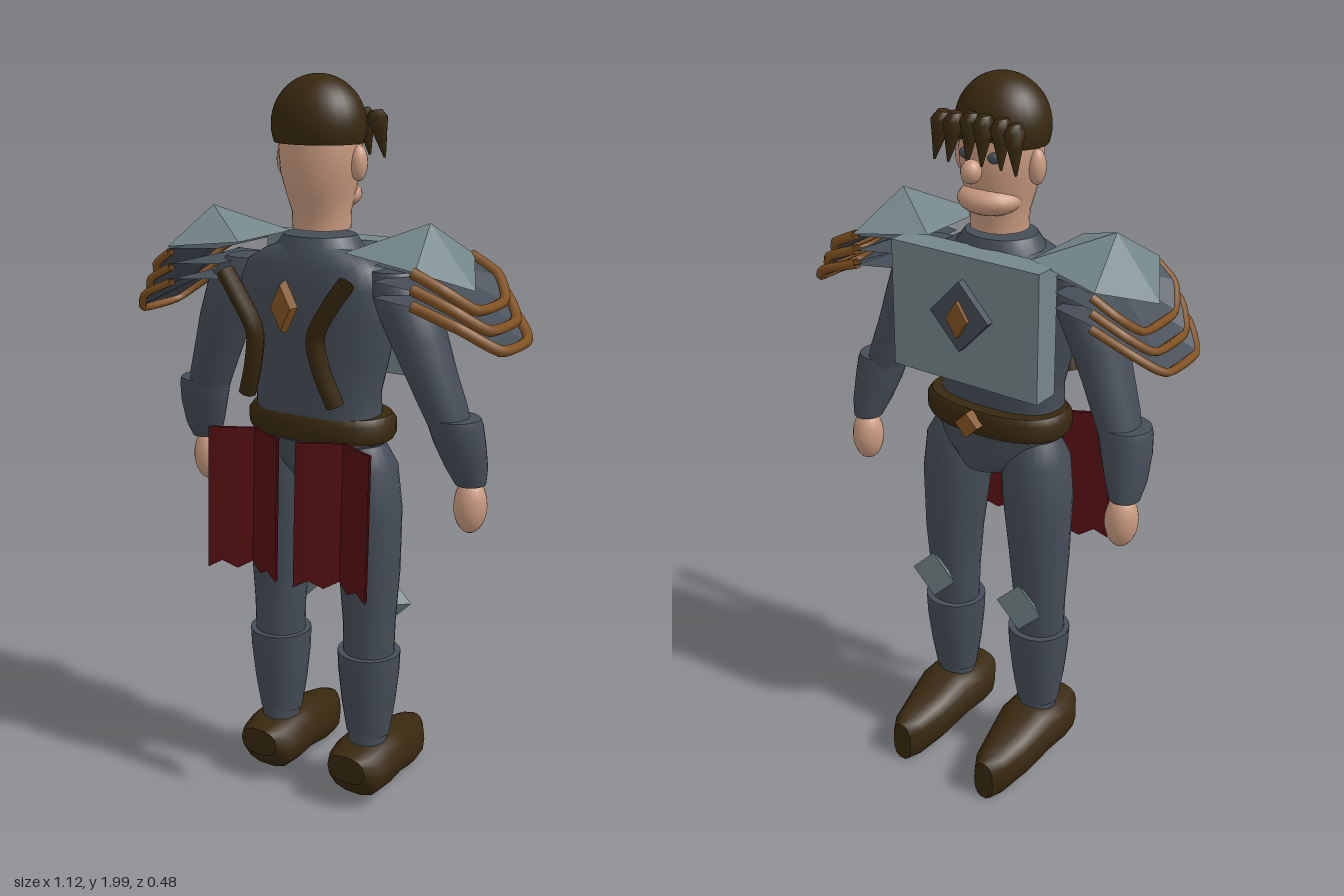
import * as THREE from 'three';

const mat = (name, color) => {
  const m = new THREE.MeshStandardMaterial({ color, side: THREE.DoubleSide });
  m.name = name;
  return m;
};

// Smooth body through rings [x, y, z, rx, rz], listed upwards; n squares the section
function loft(rings, seg = 24, n = 2) {
  const first = rings[0], last = rings[rings.length - 1];
  const cap = (r) => [r[0], r[1], r[2], 0, 0];
  const all = [cap(first), first, ...rings, last, cap(last)];
  const pos = [], idx = [];
  const pw = (v) => Math.sign(v) * Math.pow(Math.abs(v), 2 / n);
  all.forEach(([x, y, z, rx, rz], i) => {
    for (let j = 0; j < seg; j++) {
      const a = (j / seg) * Math.PI * 2;
      pos.push(x + rx * pw(Math.cos(a)), y, z + rz * pw(Math.sin(a)));
      if (i === all.length - 1) continue;
      const p = i * seg + j, q = i * seg + ((j + 1) % seg);
      idx.push(p, p + seg, q, q, p + seg, q + seg);
    }
  });
  const g = new THREE.BufferGeometry();
  g.setAttribute('position', new THREE.Float32BufferAttribute(pos, 3));
  g.setIndex(idx);
  g.computeVertexNormals();
  return g;
}

// Faceted fan from a centre point around a closed outline
function fan(center, pts) {
  const pos = [];
  pts.forEach((p, i) => pos.push(...center, ...p, ...pts[(i + 1) % pts.length]));
  const g = new THREE.BufferGeometry();
  g.setAttribute('position', new THREE.Float32BufferAttribute(pos, 3));
  g.computeVertexNormals();
  return g;
}

// Four-sided stud, dir = -1 or 1 is the z side it faces
function stud(w, h, rOut, rIn, depth, dir) {
  const g = new THREE.CylinderGeometry(rOut, rIn, depth, 4).toNonIndexed();
  g.computeVertexNormals();
  return g.rotateX((dir * Math.PI) / 2).scale(w, h, 1);
}

export function createModel() {
  const dark = mat('darkSteel', 0x454d57);
  const steel = mat('paleSteel', 0x74868a);
  const brown = mat('brownLeather', 0x38280f);
  const gold = mat('bronze', 0x835322);
  const red = mat('redCloth', 0x540f12);
  const skin = mat('skin', 0xc99a80);

  const group = new THREE.Group();
  const body = new THREE.Group();
  body.name = 'figure';
  body.position.x = -0.025;
  group.add(body);
  const add = (name, geo, m, x = 0, y = 0, z = 0) => {
    const mesh = new THREE.Mesh(geo, m);
    mesh.name = name;
    mesh.position.set(x, y, z);
    body.add(mesh);
    return mesh;
  };
  const ball = (name, m, x, y, z, rx, ry, rz) =>
    add(name, new THREE.SphereGeometry(1, 20, 14).scale(rx, ry, rz), m, x, y, z);

  // Head
  add('head', loft([
    [0, 1.617, 0.042, 0.077, 0.073], [0, 1.66, 0.042, 0.078, 0.074], [0, 1.7, 0.045, 0.087, 0.09],
    [0, 1.76, 0.047, 0.103, 0.102], [0, 1.82, 0.047, 0.109, 0.104], [0, 1.9, 0.05, 0.1, 0.095],
  ]), skin);
  ball('jaw', skin, 0, 1.7, 0, 0.085, 0.042, 0.078);
  ball('nose', skin, 0, 1.783, -0.08, 0.026, 0.03, 0.028);
  for (const s of [-1, 1]) {
    ball('ear', skin, s * 0.11, 1.785, 0.042, 0.022, 0.045, 0.025);
    ball('eye', dark, s * 0.042, 1.815, -0.045, 0.018, 0.014, 0.012);
  }

  // Hair cap and fringe tufts
  add('hair', new THREE.SphereGeometry(1, 28, 16, 0, Math.PI * 2, 0, Math.PI * 0.61)
    .scale(0.126, 0.125, 0.108), brown, 0, 1.875, 0.055);
  for (let i = 0; i < 6; i++) {
    const t = i / 5 - 0.5;
    const tuft = add('fringeTuft', loft([
      [0, -0.065, -0.012, 0.003, 0.003], [0, 0, -0.004, 0.02, 0.018],
      [0, 0.035, 0, 0.028, 0.029], [0, 0.055, 0.005, 0.016, 0.018],
    ], 7), brown, t * 0.23, 1.865 - 0.02 * Math.abs(t), -0.06 + 0.01 * (i % 2));
    tuft.rotation.z = t * 0.3;
  }

  // Torso, collar, belt and hips
  add('torso', loft([
    [0, 1.07, 0.06, 0.19, 0.1], [0, 1.13, 0.06, 0.18, 0.1], [0, 1.2, 0.06, 0.178, 0.102],
    [0, 1.3, 0.06, 0.203, 0.104], [0, 1.4, 0.06, 0.225, 0.106], [0, 1.48, 0.06, 0.228, 0.104],
    [0, 1.53, 0.06, 0.2, 0.098], [0, 1.56, 0.06, 0.15, 0.09], [0, 1.58, 0.06, 0.1, 0.08],
  ], 32, 2.5), dark);
  add('collar', loft([
    [0, 1.54, 0.05, 0.13, 0.105], [0, 1.57, 0.05, 0.124, 0.1], [0, 1.603, 0.05, 0.098, 0.085],
  ]), dark);
  add('belt', loft([
    [0, 1.075, 0.043, 0.205, 0.122], [0, 1.09, 0.043, 0.213, 0.128],
    [0, 1.125, 0.043, 0.213, 0.128], [0, 1.142, 0.043, 0.2, 0.118],
  ], 32, 2.3), brown);
  add('beltBuckle', stud(1, 1, 0.036, 0.036, 0.03, -1), gold, 0, 1.11, -0.095);
  add('hips', loft([
    [0, 0.96, 0.03, 0.085, 0.1], [0, 1.01, 0.035, 0.16, 0.108], [0, 1.08, 0.04, 0.192, 0.115],
  ]), dark);

  // Chest plate with a layered diamond
  add('chestPlate', new THREE.BoxGeometry(0.45, 0.345, 0.08), steel, 0, 1.4075, -0.077);
  add('chestDiamond', stud(1, 1.05, 0.09, 0.09, 0.02, -1), dark, 0, 1.425, -0.127);
  add('chestGem', stud(0.65, 1, 0.05, 0.05, 0.012, -1), gold, 0, 1.42, -0.143);
  add('rearGem', stud(0.52, 1, 0.058, 0.068, 0.028, 1), gold, 0, 1.44, 0.224);

  for (const s of [-1, 1]) {
    // Curved leather straps
    const strap = new THREE.CatmullRomCurve3([
      [0.182, 1.515, 0.218], [0.135, 1.45, 0.222], [0.092, 1.37, 0.219],
      [0.104, 1.285, 0.209], [0.135, 1.195, 0.194],
    ].map(([x, y, z]) => new THREE.Vector3(s * x, y, z)));
    add('strap', new THREE.TubeGeometry(strap, 20, 0.024, 8), brown);

    // Folded cloth flap with a ragged hem
    const outline = new THREE.PlaneGeometry(1, 1, 6, 1);
    const p = outline.attributes.position;
    for (let i = 0; i < p.count; i++) {
      const u = p.getX(i) + 0.5, low = p.getY(i) < 0, k = Math.round(u * 6);
      const fold = 0.055 * Math.min(1, Math.abs(u - 0.5) * 2.2);
      p.setXYZ(i, s * (0.028 + 0.222 * u), low ? 0.69 + 0.022 * (k % 2) : 1.088,
        0.162 + fold + (low ? 0.018 : 0));
    }
    const flap = outline.toNonIndexed();
    flap.computeVertexNormals();
    add('clothFlap', flap, red);
    add('clothFlapLining', flap.clone(), red, 0, 0, -0.01);

    // Arm, cuff and hand
    add('arm', loft([
      [s * 0.395, 1.1, 0.03, 0.05, 0.055], [s * 0.36, 1.2, 0.042, 0.061, 0.068],
      [s * 0.328, 1.28, 0.05, 0.067, 0.073], [s * 0.292, 1.37, 0.055, 0.077, 0.08],
      [s * 0.25, 1.47, 0.055, 0.085, 0.085], [s * 0.22, 1.53, 0.055, 0.06, 0.06],
    ]), dark);
    add('cuff', loft([
      [s * 0.424, 0.985, -0.003, 0.04, 0.043], [s * 0.418, 1.03, 0.01, 0.055, 0.055],
      [s * 0.405, 1.1, 0.028, 0.068, 0.064], [s * 0.395, 1.15, 0.036, 0.073, 0.067],
      [s * 0.392, 1.168, 0.038, 0.07, 0.064],
    ]), dark);
    ball('hand', skin, s * 0.422, 0.922, -0.01, 0.044, 0.075, 0.046);

    // Leg, shin guard and knee stud
    add('leg', loft([
      [s * 0.147, 0.17, 0.04, 0.052, 0.055], [s * 0.147, 0.4, 0.038, 0.07, 0.068],
      [s * 0.147, 0.55, 0.036, 0.074, 0.07], [s * 0.145, 0.7, 0.033, 0.085, 0.082],
      [s * 0.135, 0.88, 0.035, 0.098, 0.094], [s * 0.125, 1.0, 0.038, 0.094, 0.094],
      [s * 0.115, 1.06, 0.04, 0.07, 0.07],
    ]), dark);
    add('shinGuard', loft([
      [s * 0.147, 0.212, 0.038, 0.062, 0.057], [s * 0.147, 0.3, 0.037, 0.076, 0.071],
      [s * 0.147, 0.4, 0.036, 0.086, 0.083], [s * 0.147, 0.46, 0.036, 0.088, 0.086],
    ]), dark);
    add('kneeStud', stud(1, 1, 0.073, 0.015, 0.05, -1), steel, s * 0.147, 0.573, -0.045);

    // Shoe, built along z: [x, z, -y, half width, half height]
    const shoe = loft([
      [s * 0.147, -0.238, -0.075, 0.032, 0.062], [s * 0.147, -0.2, -0.083, 0.055, 0.07],
      [s * 0.147, -0.12, -0.095, 0.074, 0.073], [s * 0.147, -0.02, -0.123, 0.09, 0.077],
      [s * 0.147, 0.06, -0.12, 0.094, 0.076], [s * 0.147, 0.115, -0.115, 0.086, 0.07],
      [s * 0.147, 0.158, -0.14, 0.06, 0.04],
    ], 14, 2.5).rotateX(Math.PI / 2);
    add('shoe', shoe, brown);

    // Shoulder cap: a tilted five-sided pyramid
    const pt = (x, y, z) => [s * x, y, z];
    add('shoulderCap', fan(pt(0.328, 1.655, 0.065), [
      pt(0.158, 1.585, -0.053), pt(0.368, 1.56, -0.1), pt(0.455, 1.5, 0.065),
      pt(0.368, 1.56, 0.214), pt(0.158, 1.585, 0.19),
    ]), steel);

    // Three overlapping shoulder plates with bronze rims
    for (let i = 0; i < 3; i++) {
      const far = (s > 0 ? 0.495 : 0.46) + 0.033 * i;
      const top = 1.555 - 0.04 * i, low = 1.465 - 0.045 * i, zc = 0.058;
      const rim = [[-0.155, 0, 0], [-0.14, 0.5, 0.45], [-0.075, 1, 1],
        [0.075, 1, 1], [0.14, 0.5, 0.45], [0.155, 0, 0]].map(([z, u, v]) =>
        pt(0.36 + (far - 0.36) * (u + (u === 0.5 ? 0.12 : 0)), top + (low - top) * v, zc + z));
      add('shoulderPlate', fan(pt(0.32, top + 0.01, zc), [
        pt(0.235, top + 0.005, zc - 0.12), ...rim, pt(0.235, top + 0.005, zc + 0.12),
      ]), dark);
      const drop = s > 0 ? 0.004 : -0.008;
      const path = new THREE.CatmullRomCurve3(rim.map((q) =>
        new THREE.Vector3(q[0], q[1] + drop, q[2])), false, 'catmullrom', 0.3);
      add('shoulderRim', new THREE.TubeGeometry(path, 24, s > 0 ? 0.014 : 0.011, 6), gold);
    }
  }
  return group;
}
